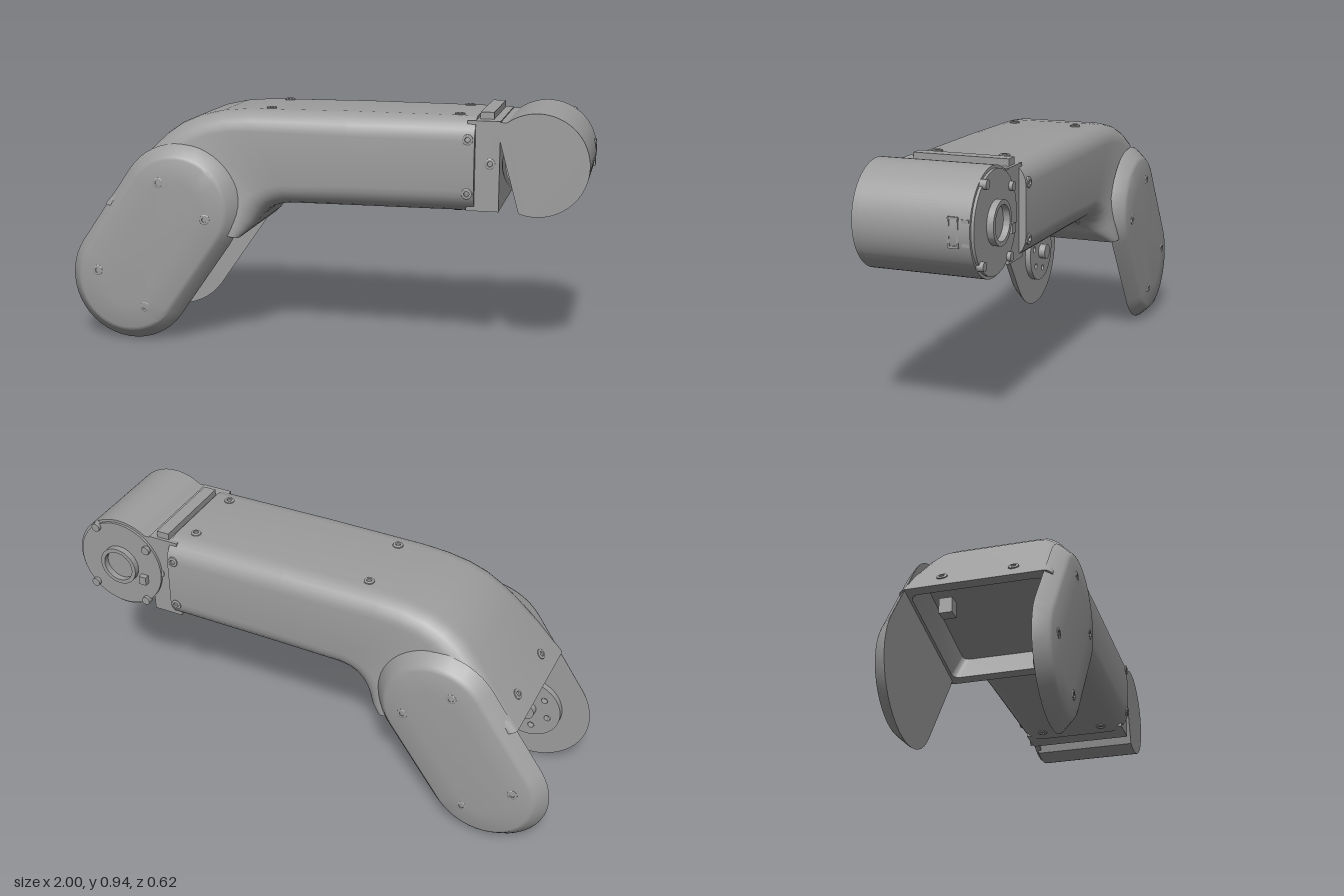
import * as THREE from 'three';
import { toCreasedNormals, mergeVertices } from 'three/addons/utils/BufferGeometryUtils.js';

const V = (x, y, z) => new THREE.Vector3(x, y, z);
const grey = new THREE.MeshStandardMaterial({ color: 0x9d9d9d });
grey.name = 'grey metal';

// Skin closed rings of points, turning anticlockwise about the direction of travel
function loft(rings, crease = 0.5) {
  const n = rings[0].length, pos = [], idx = [];
  const centre = (r) => r.reduce((s, p) => s.add(p), V(0, 0, 0)).divideScalar(n);
  rings.forEach((r) => r.forEach((p) => pos.push(p.x, p.y, p.z)));
  const last = (rings.length - 1) * n, c0 = rings.length * n;
  [rings[0], rings[rings.length - 1]].forEach((r) => pos.push(...centre(r).toArray()));
  for (let j = 0; j < n; j++) {
    const k = (j + 1) % n;
    for (let i = 0; i < rings.length - 1; i++) {
      const a = i * n + j, b = i * n + k;
      idx.push(a, b, a + n, b, b + n, a + n);
    }
    idx.push(c0, k, j, c0 + 1, last + j, last + k);
  }
  const g = new THREE.BufferGeometry();
  g.setAttribute('position', new THREE.Float32BufferAttribute(pos, 3));
  g.setIndex(idx);
  return toCreasedNormals(g, crease);
}

// Rounded rectangle standing between a top and a bottom point
function section([tx, ty, bx, by, w, r], k = 1, dx = 0, dy = 0) {
  const mx = (tx + bx) / 2, my = (ty + by) / 2, h = Math.hypot(tx - bx, ty - by) / 2;
  const ux = (tx - bx) / (2 * h), uy = (ty - by) / (2 * h), ring = [];
  for (let c = 0; c < 4; c++) {
    const sz = c === 0 || c === 3 ? 1 : -1, su = c < 2 ? 1 : -1;
    for (let i = 0; i <= 6; i++) {
      const a = (c + i / 6) * Math.PI / 2;
      const z = k * (sz * (w - r) + r * Math.cos(a)), u = k * (su * (h - r) + r * Math.sin(a));
      ring.push(V(mx + ux * u + dx, my + uy * u + dy, z));
    }
  }
  return ring;
}

// Slanted stadium outline of the fork arms
const LOW = [-0.76, 0.245], HIGH = [-0.555, 0.54];
function stadium(r, z) {
  const a0 = Math.atan2(HIGH[1] - LOW[1], HIGH[0] - LOW[0]), ring = [];
  [HIGH, LOW].forEach((c, k) => {
    for (let i = 0; i <= 24; i++) {
      const a = a0 - Math.PI / 2 + k * Math.PI + (i / 24) * Math.PI;
      ring.push(V(c[0] + r * Math.cos(a), c[1] + r * Math.sin(a), z));
    }
  });
  return ring;
}

function extrude(shape, z0, z1, bevel = 0) {
  const g = new THREE.ExtrudeGeometry(shape, {
    depth: z1 - z0 - 2 * bevel, curveSegments: 32, bevelEnabled: bevel > 0,
    bevelSize: bevel, bevelThickness: bevel, bevelOffset: -bevel, bevelSegments: 2,
  });
  return toCreasedNormals(g.translate(0, 0, z0 + bevel), 0.5);
}

const circle = (x, y, r, Kind = THREE.Path) => new Kind().absarc(x, y, r, 0, Math.PI * 2, false);

export function createModel() {
  const model = new THREE.Group();
  const add = (name, geo) => {
    const m = new THREE.Mesh(geo, grey);
    m.name = name;
    model.add(m);
    return m;
  };
  const rod = (name, x, y, r, z0, z1, seg = 32) =>
    add(name, new THREE.CylinderGeometry(r, r, z1 - z0, seg).rotateX(Math.PI / 2).translate(x, y, (z0 + z1) / 2));
  const box = (name, x, y, z, w, h, d) =>
    add(name, new THREE.BoxGeometry(w, h, d).translate(x, y, z));

  // Bent arm shell: top x,y / bottom x,y / half width / corner radius
  const stations = [
    [0.58, 0.918, 0.58, 0.565, 0.238, 0.085],
    [0.1, 0.92, 0.1, 0.562, 0.24, 0.085],
    [-0.3, 0.916, -0.13, 0.56, 0.24, 0.085],
    [-0.4, 0.907, -0.165, 0.555, 0.241, 0.085],
    [-0.49, 0.887, -0.195, 0.545, 0.244, 0.085],
    [-0.56, 0.857, -0.22, 0.53, 0.249, 0.085],
    [-0.62, 0.815, -0.24, 0.51, 0.256, 0.085],
    [-0.67, 0.765, -0.262, 0.483, 0.264, 0.075],
    [-0.76, 0.66, -0.285, 0.457, 0.272, 0.05],
    [-0.86, 0.54, -0.315, 0.43, 0.276, 0.03],
  ];
  const end = stations[stations.length - 1];
  add('armShell', loft([...stations.map((s) => section(s)),
    section(end, 0.87), section(end, 0.8, 0.08, 0.1)], 0.55));

  // Fork arms with bevelled rims and slightly domed covers
  const rims = [[0.245, 0.25], [0.242, 0.256], [0.207, 0.294], [0.2, 0.3], [0.19, 0.304], [0.1, 0.309]];
  add('frontForkArm', loft(rims.map(([r, z]) => stadium(r, z)), 0.4));
  add('backForkArm', loft(rims.map(([r, z]) => stadium(r, -z)).reverse(), 0.4));

  // Pivot hub on the inside of the front fork arm
  const hub = circle(-0.76, 0.245, 0.132, THREE.Shape);
  for (let i = 0; i < 6; i++) {
    const a = (i / 6) * Math.PI * 2 + 0.3;
    hub.holes.push(circle(-0.76 + 0.085 * Math.cos(a), 0.245 + 0.085 * Math.sin(a), 0.013));
  }
  add('pivotHub', extrude(hub, 0.225, 0.252));
  rod('pivotPin', -0.76, 0.245, 0.033, 0.195, 0.23);
  box('cableClip', -0.66, 0.56, -0.16, 0.05, 0.06, 0.05);

  // Neck between the arm and the motor
  box('neck', 0.61, 0.74, 0, 0.12, 0.335, 0.424);
  box('neckTab', 0.615, 0.918, -0.02, 0.05, 0.03, 0.36);

  // Motor housing: round drum with a squared back
  const CX = 0.805, CY = 0.75;
  const drum = () => {
    const s = new THREE.Shape();
    s.moveTo(0.65, 0.568);
    s.absarc(CX, CY, 0.19, -1.9, 2.2, false);
    s.lineTo(0.65, 0.904);
    s.closePath();
    return s;
  };
  add('motorHousing', extrude(drum(), -0.212, 0.19));
  const rim = drum();
  rim.holes.push(circle(CX, CY, 0.126));
  add('motorFrontRim', extrude(rim, 0.19, 0.213));

  // Output flange with lightening holes and bolts
  const flange = circle(CX, CY, 0.114, THREE.Shape);
  for (let i = 0; i < 6; i++) {
    const a = (i / 6) * Math.PI * 2 + Math.PI / 6;
    flange.holes.push(circle(CX + 0.068 * Math.cos(a), CY + 0.068 * Math.sin(a), 0.022));
  }
  add('outputFlange', extrude(flange, 0.185, 0.208));
  rod('flangeBoss', CX, CY, 0.033, 0.2, 0.212);
  for (let i = 0; i < 6; i++) {
    const a = (i / 6) * Math.PI * 2;
    rod('flangeBolt', CX + 0.09 * Math.cos(a), CY + 0.09 * Math.sin(a), 0.012, 0.2, 0.213, 12);
  }

  // Rear cover, hollow shaft collar and bolts
  rod('rearCover', CX, CY, 0.18, -0.222, -0.2, 48);
  const collar = circle(CX, CY, 0.078, THREE.Shape);
  collar.holes.push(circle(CX, CY, 0.062));
  add('rearCollar', extrude(collar, -0.246, -0.215));
  [[0.68, 0.85], [0.7, 0.61], [0.9, 0.895], [0.93, 0.63]].forEach(([x, y]) =>
    rod('rearBolt', x, y, 0.017, -0.236, -0.21, 16));
  box('rearPlug', 0.7, 0.71, -0.228, 0.03, 0.035, 0.03);

  // Cable socket on the round side of the motor
  [0.702, 0.798].forEach((y) => box('socketFrame', 0.985, y, -0.152, 0.016, 0.008, 0.036));
  [-0.136, -0.168].forEach((z) => box('socketFrame', 0.987, 0.75, z, 0.016, 0.1, 0.006));
  box('socketPlug', 0.98, 0.75, -0.195, 0.024, 0.09, 0.026);

  // Socket-head screws set along their surface normals
  const outline = [[0.02, -0.008], [0.02, 0.003], [0.017, 0.005], [0.01, 0.005], [0.009, -0.002], [0, -0.002]]
    .map(([x, y]) => new THREE.Vector2(x, y));
  const screwGeo = toCreasedNormals(mergeVertices(new THREE.LatheGeometry(outline, 16)), 0.5);
  const screw = (x, y, z, nx, ny, nz) => {
    const m = add('screw', screwGeo);
    m.position.set(x, y, z);
    m.quaternion.setFromUnitVectors(V(0, 1, 0), V(nx, ny, nz).normalize());
  };
  [1, -1].forEach((s) => {
    screw(0.51, 0.919, 0.13 * s, 0, 1, 0);
    screw(-0.215, 0.918, 0.13 * s, 0, 1, 0);
    screw(-0.81, 0.601, 0.13 * s, -0.76, 0.65, 0);
    screw(0.51, 0.564, 0.13 * s, 0, -1, 0);
    screw(-0.225, 0.526, 0.13 * s, 0.6, -0.8, 0);
    [0.84, 0.64].forEach((y) => screw(0.555, y, 0.238 * s, 0, 0, s));
    screw(0.635, 0.75, 0.212 * s, 0, 0, s);
    [[-0.62, 0.64], [-0.435, 0.505], [-0.88, 0.28], [-0.69, 0.145]].forEach(([x, y]) =>
      screw(x, y, 0.305 * s, 0, 0, s));
  });
  return model;
}
